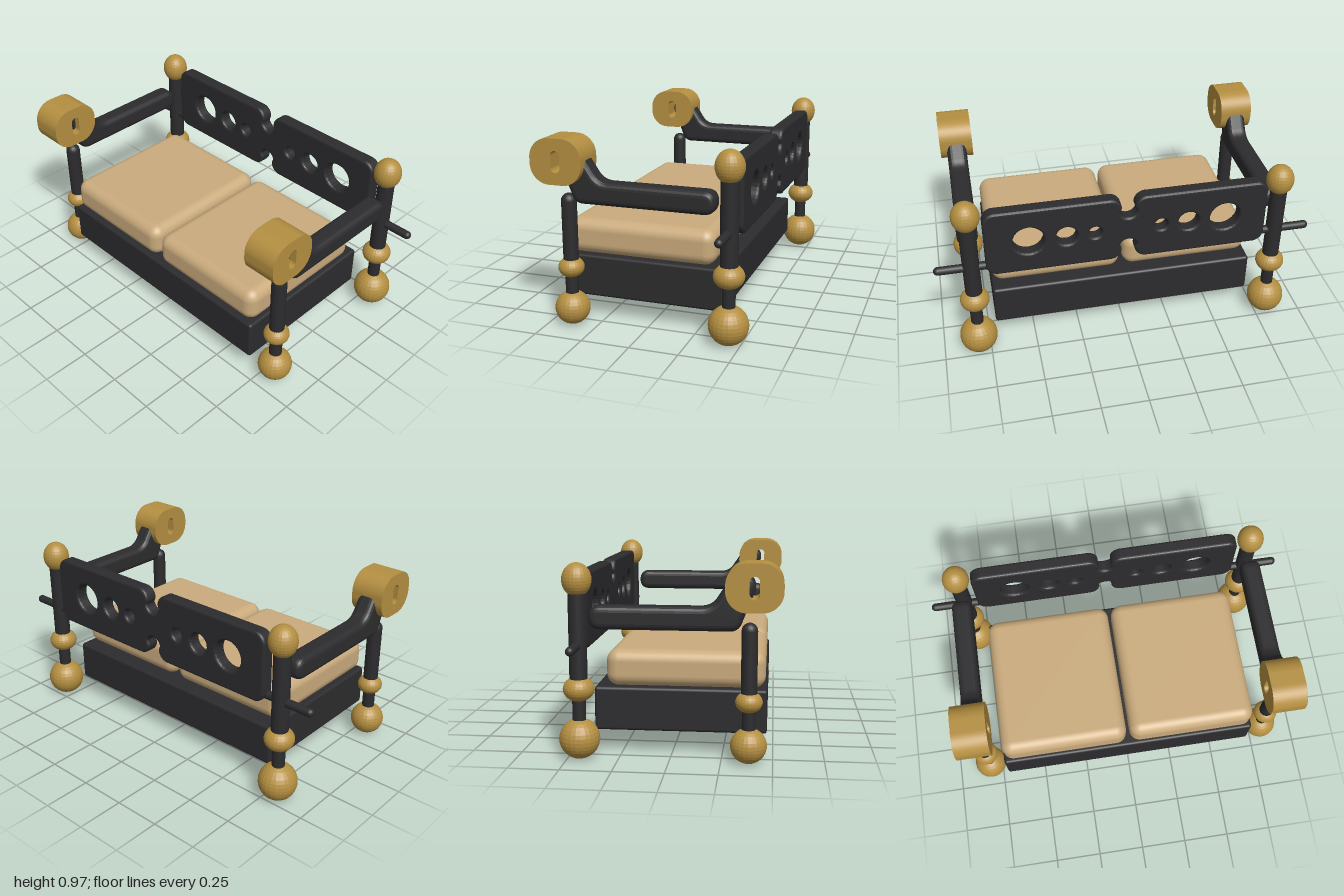
import * as THREE from 'three';
import { RoundedBoxGeometry } from 'three/addons/geometries/RoundedBoxGeometry.js';

const PI = Math.PI;

function material(name, color, flatShading = false) {
  const m = new THREE.MeshStandardMaterial({ color, flatShading });
  m.name = name;
  return m;
}

export function createModel() {
  const model = new THREE.Group();
  model.name = 'bench';
  const dark = material('dark frame', 0x2c2c2e);
  const gold = material('gold', 0xb48f41, true);
  const tan = material('tan cushion', 0xcaab7d);

  function add(parent, name, geometry, mat, x = 0, y = 0, z = 0) {
    const mesh = new THREE.Mesh(geometry, mat);
    mesh.name = name;
    mesh.position.set(x, y, z);
    parent.add(mesh);
    return mesh;
  }
  const ball = (parent, name, r, ry, y, z) =>
    add(parent, name, new THREE.SphereGeometry(r, 24, 16).scale(1, ry / r, 1), gold, 0, y, z);
  const post = (parent, name, r, y0, y1, z) =>
    add(parent, name, new THREE.CapsuleGeometry(r, y1 - y0 - 2 * r, 6, 20), dark, 0, (y0 + y1) / 2, z);

  // Extrude centred on its depth, keeping the outline exact when bevelled
  function extrude(shape, depth, bevel) {
    return new THREE.ExtrudeGeometry(shape, {
      depth: depth - 2 * bevel, bevelEnabled: bevel > 0, bevelThickness: bevel,
      bevelSize: bevel, bevelOffset: -bevel, bevelSegments: 4, curveSegments: 12,
    }).translate(0, 0, -depth / 2 + bevel);
  }
  function roundedRect(path, x0, y0, x1, y1, r) {
    path.moveTo(x0 + r, y0);
    path.absarc(x1 - r, y0 + r, r, -PI / 2, 0);
    path.absarc(x1 - r, y1 - r, r, 0, PI / 2);
    path.absarc(x0 + r, y1 - r, r, PI / 2, PI);
    path.absarc(x0 + r, y0 + r, r, PI, PI * 1.5);
    return path;
  }

  // Seat
  add(model, 'seatBase', new RoundedBoxGeometry(1.42, 0.22, 0.855, 3, 0.015), dark, 0, 0.23, 0.042);
  for (const s of [1, -1]) {
    add(model, s > 0 ? 'leftCushion' : 'rightCushion',
      new RoundedBoxGeometry(0.695, 0.185, 0.79, 6, 0.06), tan, s * 0.357, 0.432, 0.065);
  }

  // Backrest: two panels joined by a narrow neck, three holes on each side
  const panel = new THREE.Shape();
  const c = 0.06, bottom = 0.53, top = 0.905, outer = 0.735, gap = 0.035;
  const a = Math.acos(gap / 0.045);
  panel.moveTo(gap + c, bottom);
  panel.absarc(outer - c, bottom + c, c, -PI / 2, 0);
  panel.absarc(outer - c, top - c, c, 0, PI / 2);
  panel.absarc(gap + c, top - c, c, PI / 2, PI);
  panel.absarc(0, 0.83, 0.045, -a * 0.3, -PI + a * 0.3, true);
  panel.absarc(-gap - c, top - c, c, 0, PI / 2);
  panel.absarc(-outer + c, top - c, c, PI / 2, PI);
  panel.absarc(-outer + c, bottom + c, c, PI, PI * 1.5);
  panel.absarc(-gap - c, bottom + c, c, -PI / 2, 0);
  panel.absarc(0, 0.605, 0.045, PI - a * 0.3, a * 0.3, true);
  panel.absarc(gap + c, bottom + c, c, PI, PI * 1.5);
  for (const s of [1, -1]) {
    for (const [x, r] of [[0.512, 0.08], [0.318, 0.054], [0.172, 0.034]]) {
      panel.holes.push(new THREE.Path().absarc(s * x, 0.718, r, 0, PI * 2, true));
    }
  }
  add(model, 'backrest', extrude(panel, 0.075, 0.015), dark, 0, 0, -0.448);

  // Arm profile, drawn with z across and y up
  const arm = new THREE.Shape();
  arm.moveTo(-0.32, 0.65);
  arm.lineTo(0.29, 0.65);
  arm.quadraticCurveTo(0.335, 0.65, 0.35, 0.7);
  arm.lineTo(0.402, 0.83);
  arm.bezierCurveTo(0.42, 0.88, 0.4, 0.92, 0.35, 0.92);
  arm.quadraticCurveTo(0.3, 0.92, 0.278, 0.88);
  arm.lineTo(0.225, 0.8);
  arm.quadraticCurveTo(0.2, 0.765, 0.15, 0.765);
  arm.lineTo(-0.325, 0.765);
  arm.quadraticCurveTo(-0.38, 0.765, -0.38, 0.707);
  arm.quadraticCurveTo(-0.38, 0.65, -0.32, 0.65);

  // Slotted block at the end of each arm
  const block = roundedRect(new THREE.Shape(), 0.27, 0.747, 0.54, 0.975, 0.1);
  block.holes.push(roundedRect(new THREE.Path(), 0.381, 0.807, 0.429, 0.915, 0.0239));

  for (const s of [1, -1]) {
    const side = new THREE.Group();
    side.name = s > 0 ? 'leftSide' : 'rightSide';
    side.position.x = s * 0.81;
    model.add(side);

    add(side, 'arm', extrude(arm, 0.107, 0.03).rotateY(-PI / 2), dark);
    add(side, 'armBlock', extrude(block, 0.178, 0).rotateY(-PI / 2), gold);

    // Back leg
    ball(side, 'backFoot', 0.1, 0.1, 0.105, -0.44);
    post(side, 'backLowerLeg', 0.033, 0.14, 0.38, -0.44);
    ball(side, 'backKnob', 0.077, 0.062, 0.353, -0.44);
    post(side, 'backPost', 0.044, 0.36, 0.87, -0.44);
    ball(side, 'backFinial', 0.072, 0.083, 0.883, -0.44);

    // Front leg
    ball(side, 'frontFoot', 0.089, 0.087, 0.092, 0.383);
    post(side, 'frontLowerLeg', 0.033, 0.12, 0.34, 0.383);
    ball(side, 'frontKnob', 0.066, 0.053, 0.307, 0.383);
    post(side, 'frontPost', 0.039, 0.29, 0.69, 0.383);

    // Peg running out through the back post
    add(side, 'sidePeg', new THREE.CapsuleGeometry(0.022, 0.256, 6, 16).rotateZ(PI / 2),
      dark, s * 0.04, 0.568, -0.44);
  }
  return model;
}
